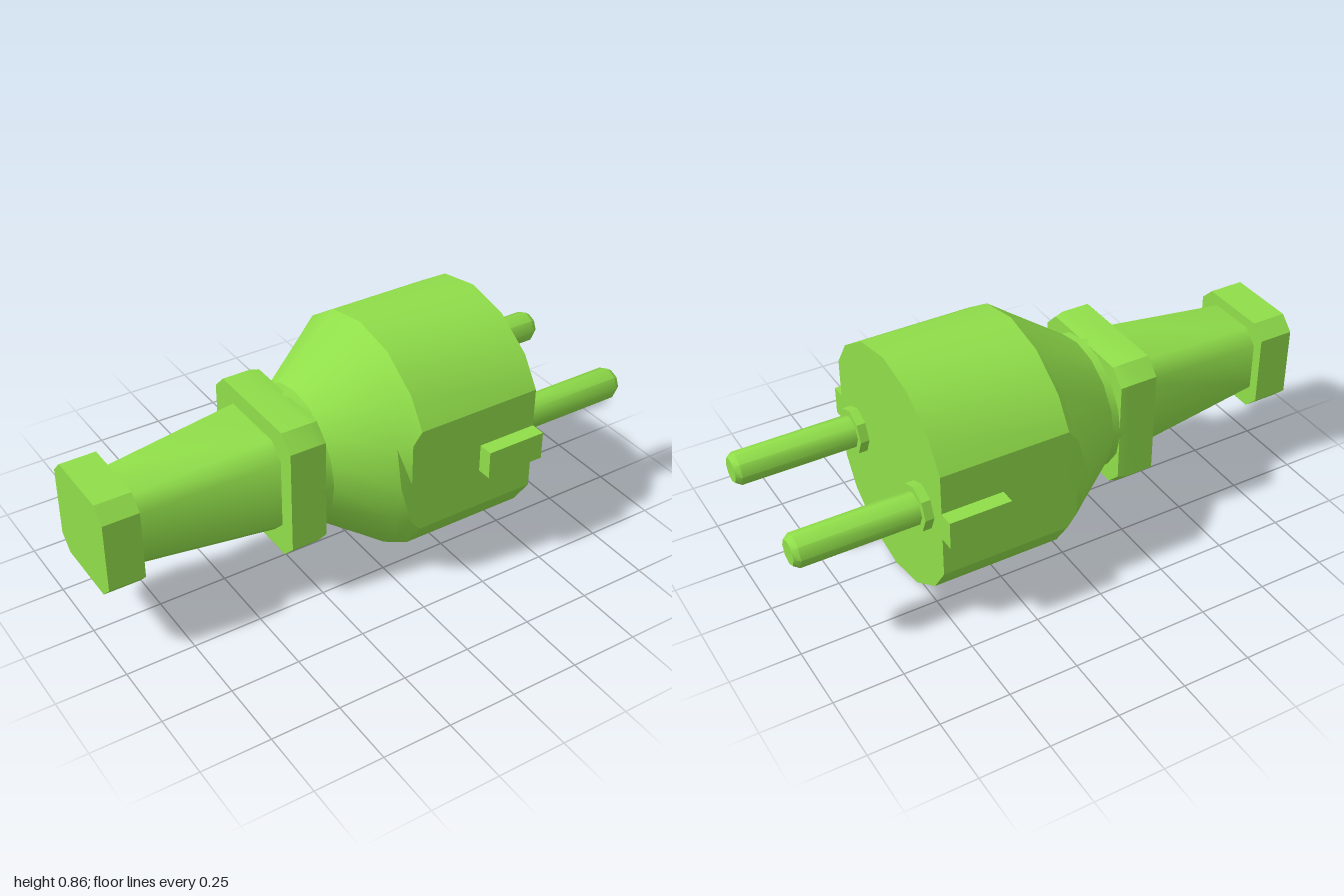
import * as THREE from 'three';
import { toCreasedNormals } from 'three/addons/utils/BufferGeometryUtils.js';

const CY = 0.431; // height of the long axis
const FLAT = 0.375; // half width between the side flats

// Skins [x, [[y, z], ...]] sections along x and caps both ends.
function loft(sections, crease) {
  const n = sections[0][1].length;
  const pos = [], index = [];
  for (const [x, ring] of sections) for (const [y, z] of ring) pos.push(x, y, z);
  for (let i = 0; i < sections.length - 1; i++) {
    for (let j = 0; j < n; j++) {
      const k = (j + 1) % n;
      const a = i * n + j, b = i * n + k;
      index.push(a, b, b + n, a, b + n, a + n);
    }
  }
  const last = (sections.length - 1) * n;
  for (let j = 1; j < n - 1; j++) {
    index.push(0, j + 1, j);
    index.push(last, last + j, last + j + 1);
  }
  const g = new THREE.BufferGeometry();
  g.setAttribute('position', new THREE.Float32BufferAttribute(pos, 3));
  g.setIndex(index);
  return toCreasedNormals(g, crease);
}

function polygon(r, sides) {
  return Array.from({ length: sides }, (_, i) => {
    const a = (i / sides) * Math.PI * 2;
    return [r * Math.cos(a), r * Math.sin(a)];
  });
}

// 16-sided ring, cut off at the two side flats.
function bodyRing(r) {
  const pts = polygon(r, 16);
  return pts.map(([y, z]) => {
    if (Math.abs(z) <= FLAT) return [y, z];
    const s = Math.sign(z);
    if (Math.abs(y) < 0.001) return [0, s * FLAT];
    const qy = Math.sign(y) * r * Math.SQRT1_2, qz = s * r * Math.SQRT1_2;
    const t = (s * FLAT - qz) / (z - qz);
    return [qy + (y - qy) * t, s * FLAT];
  });
}

// Square with cut corners.
function cutSquare(h, c) {
  const m = h - c;
  return [[h, -m], [h, m], [m, h], [-m, h], [-h, m], [-h, -m], [-m, -h], [m, -h]];
}

export function createModel() {
  const group = new THREE.Group();
  const green = new THREE.MeshStandardMaterial({ color: 0x90de4a });
  green.name = 'green plastic';

  const add = (name, geometry, x = 0, y = CY, z = 0) => {
    const mesh = new THREE.Mesh(geometry, green);
    mesh.name = name;
    mesh.position.set(x, y, z);
    group.add(mesh);
  };

  // Main body: neck, cone and barrel with flat sides
  const profile = [[-0.25, 0.246], [-0.2, 0.247], [-0.018, 0.375], [0.025, 0.406], [0.06, 0.431], [0.53, 0.431]];
  add('body', loft(profile.map(([x, r]) => [x, bodyRing(r)]), 0.5));

  // Cable end: collar, tapered sleeve and end cap
  add('flange', loft([
    [-0.365, cutSquare(0.248, 0.055)],
    [-0.26, cutSquare(0.248, 0.055)],
    [-0.228, cutSquare(0.242, 0.055)],
  ], 0.5));
  add('sleeve', loft([
    [-0.88, cutSquare(0.139, 0.05)],
    [-0.36, cutSquare(0.184, 0.055)],
  ], 0.85));
  add('endCap', loft([
    [-1, cutSquare(0.179, 0.05)],
    [-0.87, cutSquare(0.179, 0.05)],
  ], 0.5));

  // Mirrored pins, pin collars and side ribs
  for (const [side, s] of [['Front', 1], ['Back', -1]]) {
    add('pinCollar' + side, loft([
      [0.52, polygon(0.083, 8)],
      [0.562, polygon(0.083, 8)],
    ], 0.5), 0, CY, s * 0.24);
    add('pin' + side, loft([
      [0.54, polygon(0.059, 8)],
      [0.98, polygon(0.059, 8)],
      [1, polygon(0.045, 8)],
    ], 0.85), 0, CY, s * 0.24);
    add('sideRib' + side, new THREE.BoxGeometry(0.225, 0.104, 0.07), 0.4175, 0.433, s * 0.395);
  }
  return group;
}
